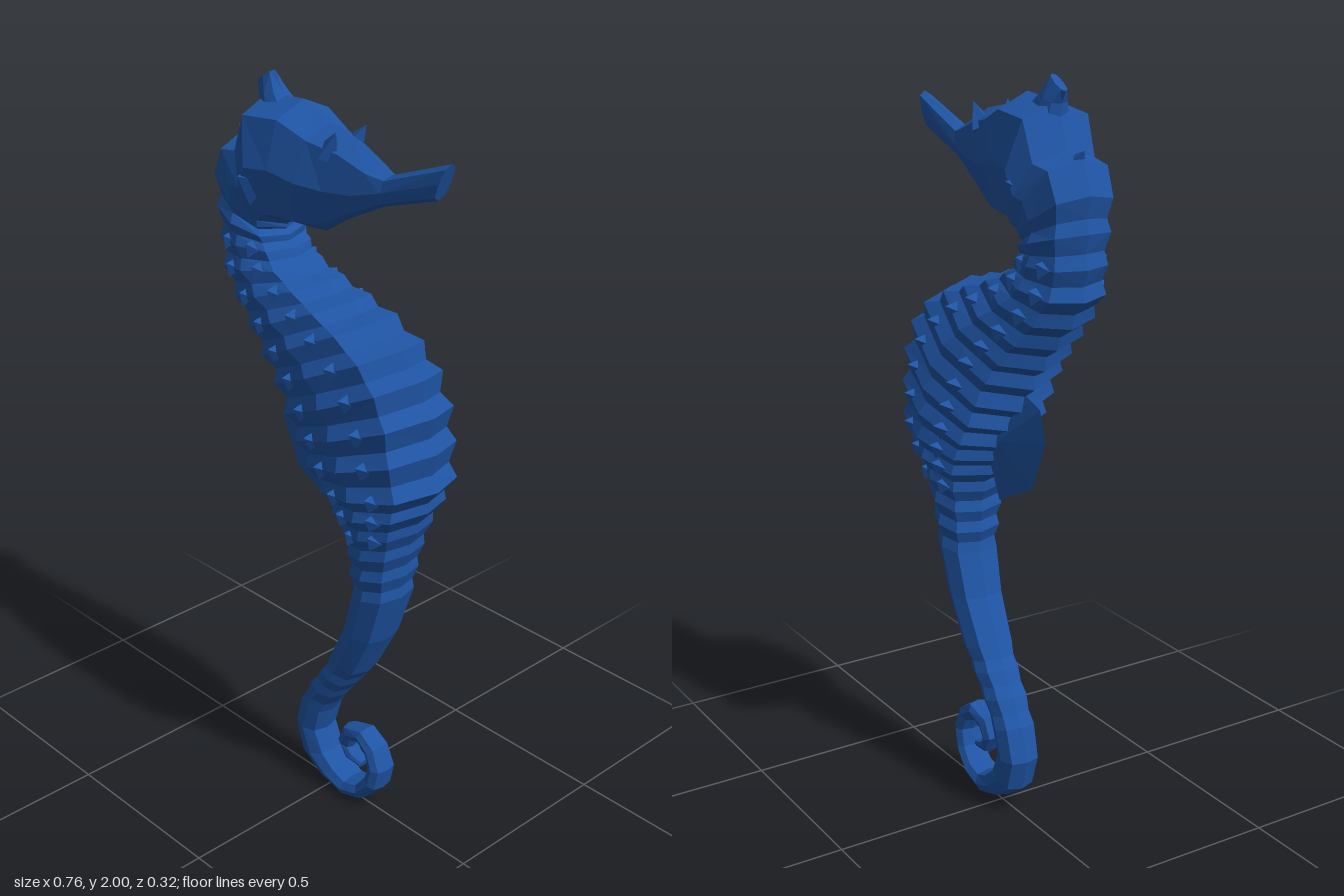
import * as THREE from 'three';

const material = new THREE.MeshStandardMaterial({ color: 0x1f55a5, flatShading: true, side: THREE.DoubleSide });

// Each cross-section: [back x, back y, belly x, belly y, half width]
const HEAD = [
  [0.38, 1.9, 0.34, 1.805, 0.022], [0.19, 1.83, 0.17, 1.75, 0.03],
  [0.15, 1.85, 0.05, 1.69, 0.05], [0.07, 1.89, -0.03, 1.64, 0.065],
  [-0.02, 1.91, -0.08, 1.635, 0.09], [-0.11, 1.95, -0.14, 1.635, 0.11],
  [-0.24, 1.94, -0.16, 1.63, 0.12], [-0.28, 1.83, -0.17, 1.625, 0.115],
];
const TRUNK = [
  [-0.345, 1.82, -0.175, 1.62, 0.11], [-0.38, 1.74, -0.175, 1.61, 0.105],
  [-0.375, 1.65, -0.165, 1.595, 0.105], [-0.372, 1.565, -0.145, 1.565, 0.1],
  [-0.362, 1.485, -0.105, 1.53, 0.108], [-0.31, 1.41, -0.03, 1.505, 0.118],
  [-0.25, 1.345, 0.06, 1.48, 0.132], [-0.195, 1.28, 0.15, 1.455, 0.142],
  [-0.15, 1.22, 0.245, 1.41, 0.15], [-0.11, 1.15, 0.31, 1.35, 0.156],
  [-0.075, 1.09, 0.35, 1.265, 0.156], [-0.03, 1.035, 0.36, 1.17, 0.155],
  [0.02, 0.985, 0.368, 1.07, 0.145], [0.06, 0.935, 0.335, 1.0, 0.13],
  [0.09, 0.88, 0.3, 0.93, 0.108], [0.1, 0.82, 0.278, 0.86, 0.095],
  [0.105, 0.76, 0.262, 0.79, 0.088], [0.112, 0.7, 0.25, 0.72, 0.08],
];
const TAIL = [
  [0.08, 0.58, 0.2, 0.57, 0.073], [0.02, 0.46, 0.13, 0.435, 0.066],
  [-0.015, 0.4, 0.085, 0.375, 0.063], [-0.06, 0.335, 0.04, 0.315, 0.06],
  [-0.1, 0.265, -0.01, 0.24, 0.057], [-0.125, 0.17, -0.03, 0.17, 0.054],
  [-0.1, 0.08, 0, 0.11, 0.052], [-0.03, 0.03, 0.04, 0.075, 0.05],
  [0.06, 0.002, 0.075, 0.06, 0.047], [0.14, 0.025, 0.115, 0.07, 0.045],
  [0.195, 0.085, 0.145, 0.105, 0.042], [0.21, 0.15, 0.157, 0.15, 0.04],
  [0.183, 0.215, 0.143, 0.182, 0.037], [0.13, 0.25, 0.113, 0.202, 0.034],
  [0.055, 0.23, 0.085, 0.185, 0.03], [0.03, 0.175, 0.075, 0.16, 0.027],
  [0.06, 0.122, 0.09, 0.145, 0.024], [0.115, 0.115, 0.12, 0.135, 0.018],
];

// Eight-sided closed skin through a row of cross-sections
function loft(name, sections) {
  const N = 8, pos = [], idx = [];
  for (const [ax, ay, bx, by, w] of sections) {
    for (let j = 0; j < N; j++) {
      const a = (j / N) * Math.PI * 2, full = j % 2 ? 1.08 : 1;
      const c = Math.cos(a) * full, s = Math.sin(a) * full;
      pos.push((ax + bx) / 2 + ((bx - ax) / 2) * c, (ay + by) / 2 + ((by - ay) / 2) * c, w * s);
    }
  }
  for (let i = 0; i < sections.length - 1; i++) {
    for (let j = 0; j < N; j++) {
      const k = (j + 1) % N, a = i * N + j, b = i * N + k, c = b + N, d = a + N;
      if ((i + j) % 2) idx.push(a, b, c, a, c, d);
      else idx.push(a, b, d, b, c, d);
    }
  }
  const last = (sections.length - 1) * N;
  for (let j = 1; j < N - 1; j++) idx.push(0, j + 1, j, last, last + j, last + j + 1);
  const geo = new THREE.BufferGeometry();
  geo.setAttribute('position', new THREE.Float32BufferAttribute(pos, 3));
  geo.setIndex(idx);
  return addMesh(name, geo);
}

function addMesh(name, geo) {
  geo.computeVertexNormals();
  const mesh = new THREE.Mesh(geo, material);
  mesh.name = name;
  return mesh;
}

// Shrunken section between two bony rings
function groove(p, q, shrink) {
  const m = p.map((v, i) => v * 0.45 + q[i] * 0.55);
  const cx = (m[0] + m[2]) / 2, cy = (m[1] + m[3]) / 2;
  const f = (v, c) => c + (v - c) * shrink;
  return [f(m[0], cx), f(m[1], cy), f(m[2], cx), f(m[3], cy), m[4] * shrink];
}

function ringed(rings, shrink) {
  return rings.flatMap((r, i) => (i < rings.length - 1 ? [r, groove(r, rings[i + 1], shrink)] : [r]));
}

// Four-sided spine from a base point to a tip
function spine(name, base, tip, radius) {
  const a = new THREE.Vector3(...base), d = new THREE.Vector3(...tip).sub(a);
  const mesh = addMesh(name, new THREE.ConeGeometry(radius, d.length(), 4));
  mesh.position.copy(a).addScaledVector(d, 0.5);
  mesh.quaternion.setFromUnitVectors(new THREE.Vector3(0, 1, 0), d.normalize());
  return mesh;
}

export function createModel() {
  const model = new THREE.Group();
  model.name = 'seahorse';

  // Head with snout, ringed trunk and curled tail
  model.add(loft('head', [...HEAD, TRUNK[0], TRUNK[1]]));
  model.add(loft('trunk', ringed(TRUNK, 0.89)));
  model.add(loft('tail', [TRUNK[TRUNK.length - 1], TAIL[0], ...ringed(TAIL.slice(1, 5), 0.92), ...TAIL.slice(5)]));

  // Crown on top of the head
  model.add(loft('crown', [
    [-0.272, 1.965, -0.215, 2.0, 0.012], [-0.255, 1.935, -0.185, 1.955, 0.03], [-0.25, 1.86, -0.12, 1.9, 0.05],
  ]));

  // Brow spines, cheek spines and nape spine
  for (const s of [1, -1]) {
    model.add(spine('browSpine', [0.02, 1.85, s * 0.04], [0.055, 1.912, s * 0.05], 0.035));
    model.add(spine('cheekSpine', [-0.2, 1.74, s * 0.08], [-0.215, 1.76, s * 0.125], 0.06));
  }
  model.add(spine('napeSpine', [-0.28, 1.76, 0], [-0.35, 1.84, 0], 0.06));

  // Side spines on the trunk rings
  TRUNK.slice(3, 15).forEach(([ax, ay, bx, by, w]) => {
    for (const s of [1, -1]) {
      for (const t of [0.3, 0.68]) {
        const x = ax + (bx - ax) * t, y = ay + (by - ay) * t;
        model.add(spine('ringSpine', [x, y, s * w * 0.8], [x, y + 0.015, s * w * 1.01], 0.028));
      }
    }
  });

  // Thin faceted fin on the back
  const rim = [[-0.11, 1.195], [-0.175, 1.175], [-0.2, 1.09], [-0.14, 0.955], [0.015, 0.88], [0.06, 0.97], [0.03, 1.09]];
  const pos = [-0.03, 1.06, 0.035, -0.03, 1.06, -0.035], idx = [];
  rim.forEach(([x, y], i) => {
    const a = i + 2, b = ((i + 1) % rim.length) + 2;
    pos.push(x, y, 0);
    idx.push(0, a, b, 1, b, a);
  });
  const fin = new THREE.BufferGeometry();
  fin.setAttribute('position', new THREE.Float32BufferAttribute(pos, 3));
  fin.setIndex(idx);
  model.add(addMesh('backFin', fin));

  return model;
}
